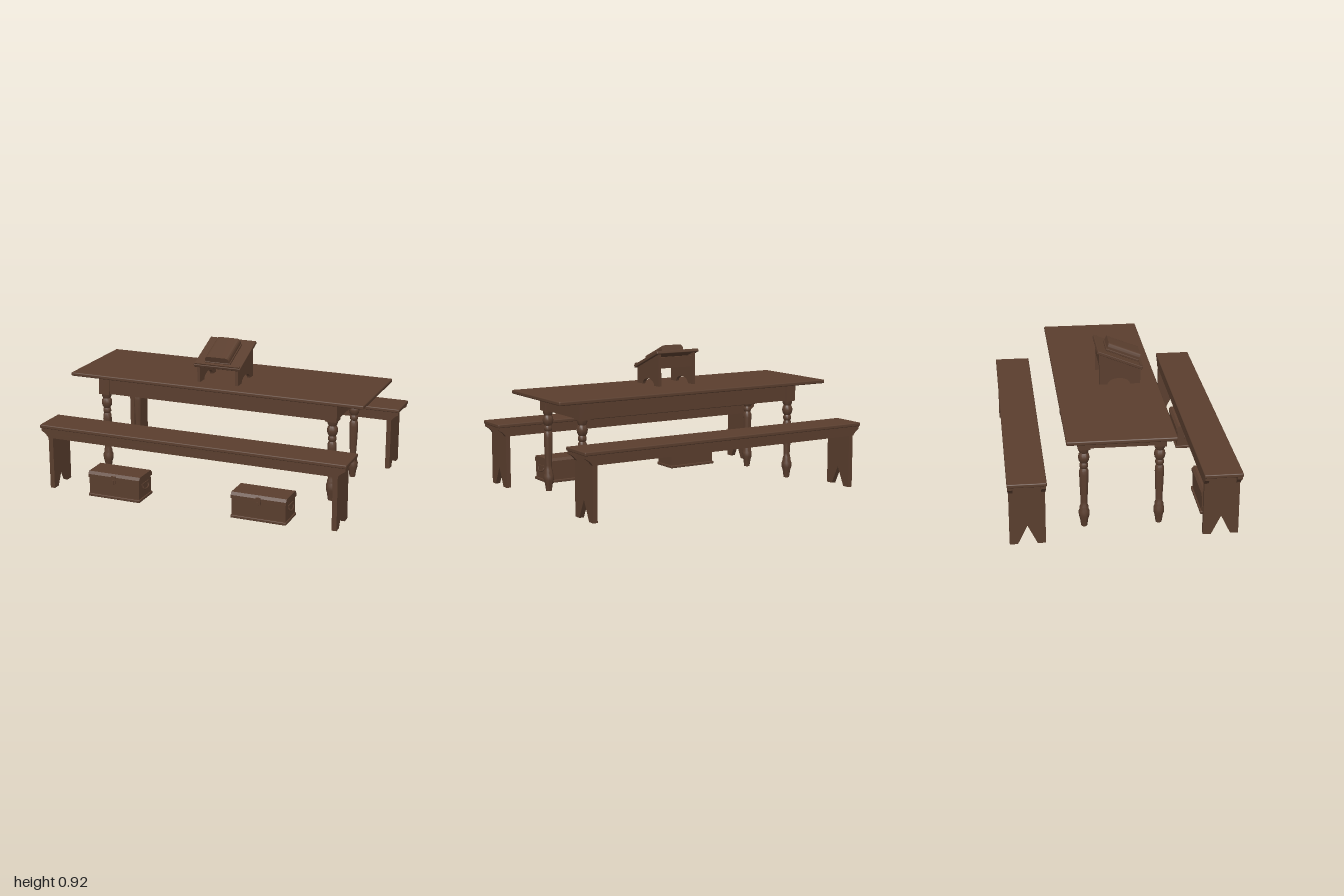
import * as THREE from 'three';
import { RoundedBoxGeometry } from 'three/addons/geometries/RoundedBoxGeometry.js';
import { toCreasedNormals } from 'three/addons/utils/BufferGeometryUtils.js';

const wood = new THREE.MeshStandardMaterial({ color: 0x5a3e2e });
wood.name = 'darkWood';

function add(parent, name, geometry, x = 0, y = 0, z = 0) {
  const mesh = new THREE.Mesh(geometry, wood);
  mesh.name = name;
  mesh.position.set(x, y, z);
  parent.add(mesh);
  return mesh;
}

function group(parent, name, x = 0, y = 0, z = 0) {
  const g = new THREE.Group();
  g.name = name;
  g.position.set(x, y, z);
  parent.add(g);
  return g;
}

// Box given by its limits
function box(parent, name, [x0, x1], [y0, y1], [z0, z1], round = 0) {
  const size = [x1 - x0, y1 - y0, z1 - z0];
  const geometry = round ? new RoundedBoxGeometry(...size, 2, round) : new THREE.BoxGeometry(...size);
  return add(parent, name, geometry, (x0 + x1) / 2, (y0 + y1) / 2, (z0 + z1) / 2);
}

// Flat board cut from a shape, centred on its thickness
function board(shape, depth) {
  const g = new THREE.ExtrudeGeometry(shape, { depth, bevelEnabled: false, curveSegments: 10 });
  g.translate(0, 0, -depth / 2);
  return toCreasedNormals(g, 0.6);
}

// Same, but the shape is drawn in z and y
const sideBoard = (shape, depth) => board(shape, depth).rotateY(-Math.PI / 2);
const outline = (pts) => new THREE.Shape(pts.map(([x, y]) => new THREE.Vector2(x, y)));

function buildTable(root) {
  const table = group(root, 'table');
  box(table, 'tableTop', [-0.98, 0.975], [0.642, 0.666], [-0.342, 0.298], 0.007);

  // Turned leg: radius and height from foot to block
  const profile = [
    [0, 0.018], [0.018, 0.018], [0.02, 0.03], [0.025, 0.065], [0.032, 0.088], [0.033, 0.115],
    [0.027, 0.13], [0.027, 0.145], [0.021, 0.16], [0.02, 0.18], [0.024, 0.25], [0.028, 0.36],
    [0.027, 0.385], [0.02, 0.4], [0.026, 0.41], [0.026, 0.425], [0.021, 0.435], [0.03, 0.45],
    [0.034, 0.47], [0.031, 0.488], [0.024, 0.5], [0.03, 0.512], [0.033, 0.535],
  ].map(([r, y]) => new THREE.Vector2(r, y));
  const turned = toCreasedNormals(new THREE.LatheGeometry(profile, 20), 0.7);
  for (const sx of [-1, 1]) {
    for (const sz of [-1, 1]) {
      const leg = group(table, 'tableLeg', sx * 0.765, 0, sz * 0.225);
      add(leg, 'turnedShaft', turned);
      box(leg, 'legBlock', [-0.036, 0.036], [0.53, 0.643], [-0.036, 0.036]);
    }
    box(table, 'endApron', [sx * 0.78 - 0.012, sx * 0.78 + 0.012], [0.535, 0.643], [-0.19, 0.19]);
    box(table, 'longApron', [-0.73, 0.73], [0.535, 0.643], [sx * 0.24 - 0.012, sx * 0.24 + 0.012]);
  }
}

function buildBench(root, z) {
  const bench = group(root, 'bench', 0, 0, z);
  box(bench, 'benchSeat', [-1, 0.997], [0.403, 0.426], [-0.115, 0.115], 0.006);

  // Long rails with curved ends
  const rail = new THREE.Shape();
  rail.moveTo(-0.945, 0.345);
  rail.lineTo(0.945, 0.345);
  rail.quadraticCurveTo(0.96, 0.37, 0.99, 0.385);
  rail.lineTo(0.99, 0.405);
  rail.lineTo(-0.99, 0.405);
  rail.lineTo(-0.99, 0.385);
  rail.quadraticCurveTo(-0.96, 0.37, -0.945, 0.345);
  for (const s of [-1, 1]) add(bench, 'benchRail', board(rail, 0.028), 0, 0, s * 0.096);

  // Plank legs with a V notch
  const plank = outline([
    [-0.106, 0.012], [-0.058, 0.012], [0, 0.13], [0.058, 0.012], [0.106, 0.012], [0.106, 0.404], [-0.106, 0.404],
  ]);
  for (const s of [-1, 1]) add(bench, 'benchLeg', sideBoard(plank, 0.03), s * 0.93);
}

function buildChest(root, x) {
  const chest = group(root, 'chest', x, 0, 0.592);
  box(chest, 'chestBase', [-0.176, 0.176], [0, 0.018], [-0.095, 0.093], 0.004);
  box(chest, 'chestBody', [-0.17, 0.17], [0.012, 0.126], [-0.086, 0.084]);

  // Lid with sloped shoulders
  const lid = outline([
    [-0.092, 0.124], [0.09, 0.124], [0.09, 0.144], [0.076, 0.161], [-0.078, 0.161], [-0.092, 0.144],
  ]);
  add(chest, 'chestLid', sideBoard(lid, 0.35));
  box(chest, 'latchPlate', [-0.015, 0.015], [0.105, 0.15], [0.08, 0.095]);
  box(chest, 'latchPin', [-0.006, 0.006], [0.1, 0.125], [0.08, 0.1]);

  // Drop handles on the ends
  const curve = new THREE.CatmullRomCurve3([
    [0, 0.1, -0.035], [0.01, 0.078, -0.033], [0.012, 0.068, 0], [0.01, 0.078, 0.033], [0, 0.1, 0.035],
  ].map((p) => new THREE.Vector3(...p)));
  for (const s of [-1, 1]) {
    const handle = group(chest, 'chestHandle', s * 0.169);
    handle.rotation.y = s < 0 ? Math.PI : 0;
    add(handle, 'handleBar', new THREE.TubeGeometry(curve, 16, 0.005, 6));
    box(handle, 'handlePlate', [-0.002, 0.006], [0.09, 0.108], [-0.043, 0.043]);
  }
}

function buildBookStand(root) {
  const stand = group(root, 'bookStand', -0.004);

  // Side panels with an arch at the foot
  const side = outline([[0.19, 0.664], [0.19, 0.774], [-0.068, 0.874], [-0.068, 0.664], [-0.016, 0.664]]);
  side.absellipse(0.055, 0.664, 0.071, 0.042, Math.PI, 0, true);
  for (const s of [-1, 1]) add(stand, 'standSide', sideBoard(side, 0.02), s * 0.127);
  box(stand, 'standBackRail', [-0.12, 0.12], [0.78, 0.85], [-0.066, -0.05]);

  // Sloping rest and the book on it
  const slope = group(stand, 'slopingRest', 0, 0.828, 0.062);
  slope.rotation.x = 0.385;
  box(slope, 'restBoard', [-0.156, 0.156], [-0.01, 0.01], [-0.153, 0.151], 0.004);
  box(slope, 'restLip', [-0.15, 0.15], [0.008, 0.018], [0.128, 0.146]);
  const book = group(slope, 'book', -0.003);
  box(book, 'bookCover', [-0.085, 0.085], [0.009, 0.024], [-0.096, 0.128], 0.004);
  const pages = new THREE.Shape();
  pages.moveTo(-0.08, 0.022);
  pages.lineTo(0.08, 0.022);
  pages.lineTo(0.08, 0.036);
  pages.quadraticCurveTo(0.078, 0.06, 0.058, 0.06);
  pages.lineTo(-0.058, 0.06);
  pages.quadraticCurveTo(-0.078, 0.06, -0.08, 0.036);
  add(book, 'bookBlock', board(pages, 0.216), 0, 0, 0.016);
}

export function createModel() {
  const root = new THREE.Group();
  root.name = 'tableWithBenches';
  buildTable(root);
  for (const z of [0.57, -0.572]) buildBench(root, z);
  for (const x of [-0.495, 0.46]) buildChest(root, x);
  buildBookStand(root);
  return root;
}
